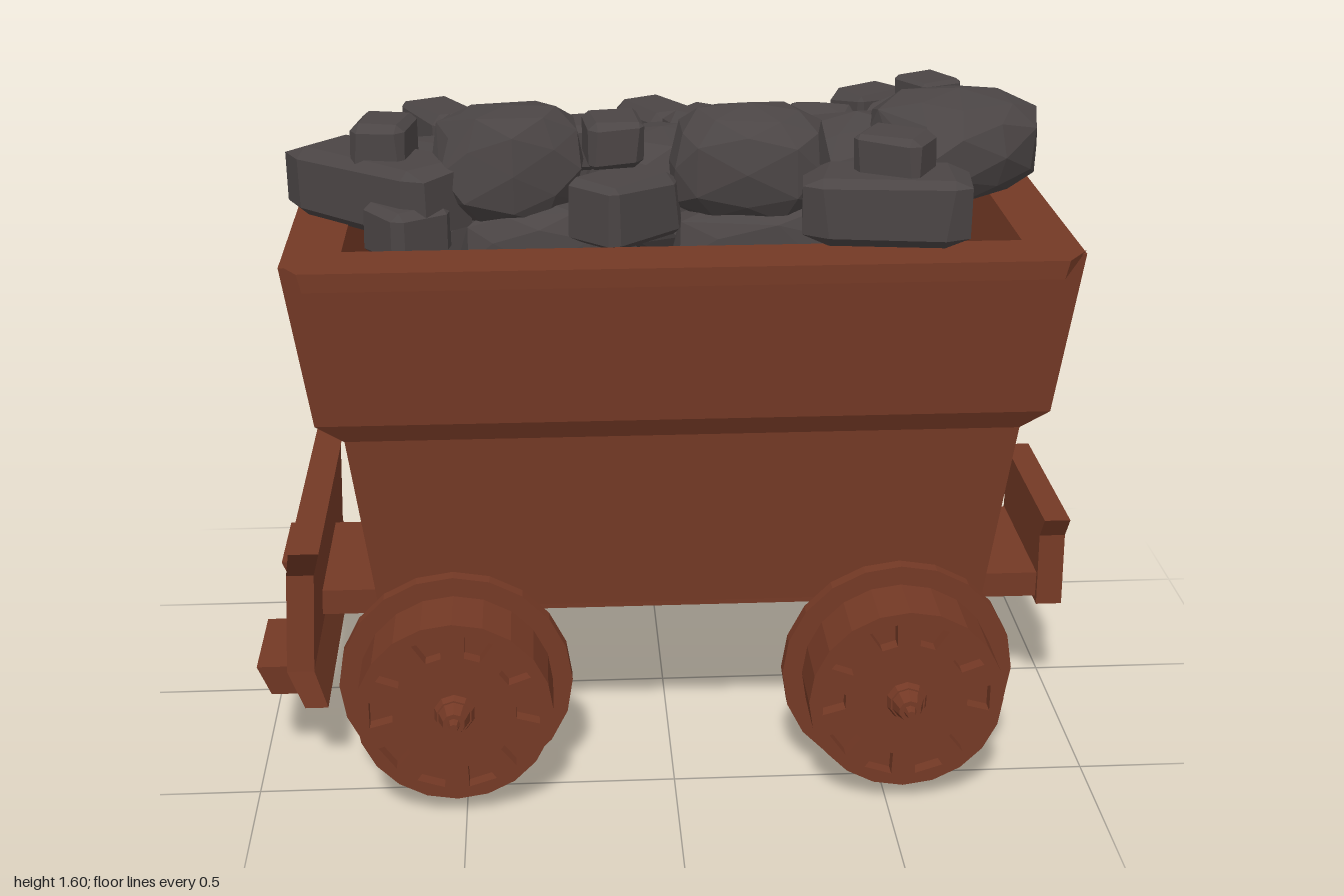
import * as THREE from 'three';
import { ConvexGeometry } from 'three/addons/geometries/ConvexGeometry.js';

let seed = 7;
const rand = () => (seed = (seed * 16807) % 2147483647) / 2147483647;

// Four corners of a level rectangle, counter-clockwise from above
const rect = (y, x0, x1, z0, z1) => [[x0, y, z1], [x1, y, z1], [x1, y, z0], [x0, y, z0]];

// Skin over a stack of four-cornered rings, capped at both ends
function loft(rings) {
  const p = [];
  const quad = (a, b, c, d) => p.push(...a, ...b, ...c, ...a, ...c, ...d);
  const first = rings[0], last = rings[rings.length - 1];
  quad(first[3], first[2], first[1], first[0]);
  for (let r = 0; r + 1 < rings.length; r++) {
    for (let i = 0; i < 4; i++) {
      const j = (i + 1) % 4;
      quad(rings[r][i], rings[r][j], rings[r + 1][j], rings[r + 1][i]);
    }
  }
  quad(...last);
  const g = new THREE.BufferGeometry();
  g.setAttribute('position', new THREE.Float32BufferAttribute(p, 3));
  g.computeVertexNormals();
  return g;
}

// Rounded, faceted lump of unit size
function boulderGeometry() {
  const pts = [];
  const src = new THREE.IcosahedronGeometry(1, 1).getAttribute('position');
  const seen = new Set();
  for (let i = 0; i < src.count; i++) {
    const v = new THREE.Vector3().fromBufferAttribute(src, i);
    const key = v.toArray().map((n) => n.toFixed(2)).join();
    if (seen.has(key)) continue;
    seen.add(key);
    // push towards a box, then roughen
    v.set(...v.toArray().map((n) => Math.sign(n) * Math.abs(n) ** 0.75));
    v.multiplyScalar(0.5 * (0.88 + rand() * 0.16));
    v.clampScalar(-0.48, 0.48);
    pts.push(v);
  }
  return new ConvexGeometry(pts);
}

// Box-like lump with cut edges, of unit size
function blockGeometry() {
  const pts = [];
  const s = [-0.5, 0.5];
  for (const x of s) for (const y of s) for (const z of s) {
    const c = 0.66 + rand() * 0.2;
    pts.push(new THREE.Vector3(x * c, y, z * c), new THREE.Vector3(x, y * c, z * c), new THREE.Vector3(x * c, y * c, z));
  }
  return new ConvexGeometry(pts);
}

export function createModel() {
  const model = new THREE.Group();
  const rust = new THREE.MeshStandardMaterial({ name: 'rustBrown', color: 0x743925, flatShading: true });
  const coal = new THREE.MeshStandardMaterial({ name: 'coalGrey', color: 0x4b4545, flatShading: true });
  const add = (name, geometry, parent = model, material = rust) => {
    const m = new THREE.Mesh(geometry, material);
    m.name = name;
    parent.add(m);
    return m;
  };

  // Hollow tub with a stepped outer wall
  add('tub', loft([
    rect(0.44, -0.70, 0.75, -0.40, 0.41),
    rect(0.88, -0.757, 0.81, -0.417, 0.43),
    rect(0.93, -0.82, 0.873, -0.443, 0.458),
    rect(1.32, -0.875, 0.925, -0.472, 0.484),
    rect(1.32, -0.745, 0.80, -0.375, 0.375),
    rect(1.0, -0.69, 0.74, -0.325, 0.325),
  ]));

  // Folded lips along both long sides
  for (const s of [1, -1]) {
    const zo = s > 0 ? 0.54 : 0.515;
    const rings = [
      [[-0.82, 1.28, zo], [0.865, 1.28, zo], [0.865, 1.313, zo - 0.06], [-0.82, 1.313, zo - 0.06]],
      [[-0.83, 1.323, zo], [0.875, 1.323, zo], [0.926, 1.323, zo - 0.07], [-0.876, 1.323, zo - 0.07]],
    ].map((r) => (s > 0 ? r : [1, 0, 3, 2].map((i) => [r[i][0], r[i][1], -r[i][2]])));
    add(s > 0 ? 'frontLip' : 'backLip', loft(rings));
  }

  // Chassis and end plates
  add('chassis', loft([rect(0.32, -0.88, 0.94, -0.2, 0.2), rect(0.385, -0.88, 0.94, -0.2, 0.2)]));
  add('leftBuffer', loft([
    rect(0.305, 0.933, 0.997, -0.212, 0.217),
    rect(0.49, 0.933, 0.997, -0.2, 0.205),
    rect(0.55, 0.933, 0.997, -0.24, 0.247),
  ]));
  add('rightPlate', loft([
    rect(0.2, -0.885, -0.83, -0.44, 0.455),
    rect(0.29, -0.925, -0.86, -0.422, 0.437),
    rect(0.53, -0.915, -0.85, -0.392, 0.407),
    rect(0.63, -0.895, -0.825, -0.483, 0.5),
  ]));
  for (const z of [-0.285, 0.285]) {
    add('bumperFoot', loft([
      rect(0.21, -0.97, -0.87, z - 0.115, z + 0.115),
      rect(0.29, -1.0, -0.915, z - 0.125, z + 0.125),
    ]));
  }

  // Wheel face with ten tapered pockets
  const polar = (r, a) => new THREE.Vector2(r * Math.cos(a), r * Math.sin(a));
  const face = new THREE.Shape(Array.from({ length: 20 }, (_, i) => polar(0.23, (i * Math.PI) / 10)));
  for (let i = 0; i < 10; i++) {
    const a = (i * Math.PI) / 5;
    face.holes.push(new THREE.Path([polar(0.145, a - 0.13), polar(0.2, a - 0.17), polar(0.2, a + 0.17), polar(0.145, a + 0.13)]));
  }
  const faceGeo = new THREE.ExtrudeGeometry(face, { depth: 0.035, bevelEnabled: false });
  const disc = (r0, r1, z0, z1, n = 20) =>
    new THREE.CylinderGeometry(r1, r0, z1 - z0, n).rotateX(Math.PI / 2).translate(0, 0, (z0 + z1) / 2);
  const wheelParts = {
    wheelFlange: disc(0.277, 0.277, 0.455, 0.488),
    wheelDrum: disc(0.23, 0.23, 0.488, 0.6),
    wheelFace: faceGeo.translate(0, 0, 0.598),
    hubBase: disc(0.05, 0.042, 0.63, 0.65, 10),
    hubCap: disc(0.038, 0.026, 0.65, 0.684, 10),
    hubTip: disc(0.015, 0.01, 0.684, 0.703, 8),
  };
  for (const x of [-0.52, 0.537]) for (const turn of [0, Math.PI]) {
    const wheel = new THREE.Group();
    wheel.name = turn ? 'backWheel' : 'frontWheel';
    wheel.position.set(x, 0.277, 0);
    wheel.rotation.y = turn;
    for (const [name, geo] of Object.entries(wheelParts)) add(name, geo, wheel);
    model.add(wheel);
  }

  // Coal heap: x, y, z, width, height, depth, yaw
  const heap = new THREE.Group();
  heap.name = 'coalHeap';
  model.add(heap);
  const boulders = [
    [-0.37, 1.46, 0.15, 0.37, 0.29, 0.28, 0.1], [0.19, 1.46, 0.17, 0.4, 0.29, 0.27, -0.1],
    [0.70, 1.47, 0.06, 0.40, 0.27, 0.40, 0.5], [-0.52, 1.33, 0.0, 0.42, 0.3, 0.42, 0.3],
    [0.0, 1.34, -0.03, 0.4, 0.32, 0.36, 0.8], [0.47, 1.38, -0.03, 0.42, 0.3, 0.36, 0.2],
    [-0.34, 1.35, -0.25, 0.22, 0.24, 0.18, 0.1], [-0.15, 1.36, -0.22, 0.23, 0.24, 0.2, 0.4],
    [0.19, 1.35, -0.24, 0.22, 0.24, 0.18, 0.2], [0.41, 1.38, -0.22, 0.24, 0.26, 0.2, 0.1],
    [0.57, 1.4, -0.34, 0.22, 0.2, 0.18, 0.3], [0.66, 1.38, -0.14, 0.3, 0.26, 0.24, 0.6],
    [-0.3, 1.25, 0.2, 0.4, 0.28, 0.2, 0], [0.25, 1.25, 0.2, 0.5, 0.28, 0.2, 0],
    [-0.25, 1.2, -0.05, 0.5, 0.3, 0.4, 0], [0.25, 1.2, -0.05, 0.5, 0.3, 0.4, 0],
  ];
  const blocks = [
    [-0.68, 1.4, 0.13, 0.46, 0.17, 0.19, -0.72], [-0.655, 1.51, 0.135, 0.13, 0.11, 0.16, -0.2],
    [-0.125, 1.51, 0.145, 0.13, 0.11, 0.16, 0.1], [-0.1, 1.38, 0.25, 0.24, 0.15, 0.16, 0.75],
    [0.49, 1.4, 0.34, 0.38, 0.16, 0.2, -0.12], [0.51, 1.51, 0.32, 0.16, 0.11, 0.14, -0.5],
    [-0.19, 1.46, -0.02, 0.13, 0.11, 0.14, 0.2], [0.66, 1.53, -0.14, 0.12, 0.1, 0.13, 0.5],
    [-0.54, 1.4, -0.31, 0.13, 0.16, 0.22, 0.5], [0.0, 1.4, -0.29, 0.14, 0.17, 0.23, 0.5],
    [-0.68, 1.36, -0.19, 0.14, 0.14, 0.09, -0.2], [-0.4, 1.43, -0.1, 0.24, 0.16, 0.14, -0.7],
    [0.13, 1.43, -0.1, 0.24, 0.16, 0.14, -0.7], [0.24, 1.42, -0.06, 0.15, 0.16, 0.16, 0.2],
    [0.55, 1.41, -0.36, 0.18, 0.18, 0.13, 0.6], [-0.6, 1.34, 0.27, 0.16, 0.12, 0.16, 0.6],
  ];
  for (const [list, make, name] of [[boulders, boulderGeometry, 'coalBoulder'], [blocks, blockGeometry, 'coalBlock']]) {
    for (const [x, y, z, w, h, d, yaw] of list) {
      const lump = add(name, make(), heap, coal);
      lump.position.set(x, y, z);
      lump.scale.set(w, h, d);
      lump.rotation.y = yaw;
    }
  }
  return model;
}
